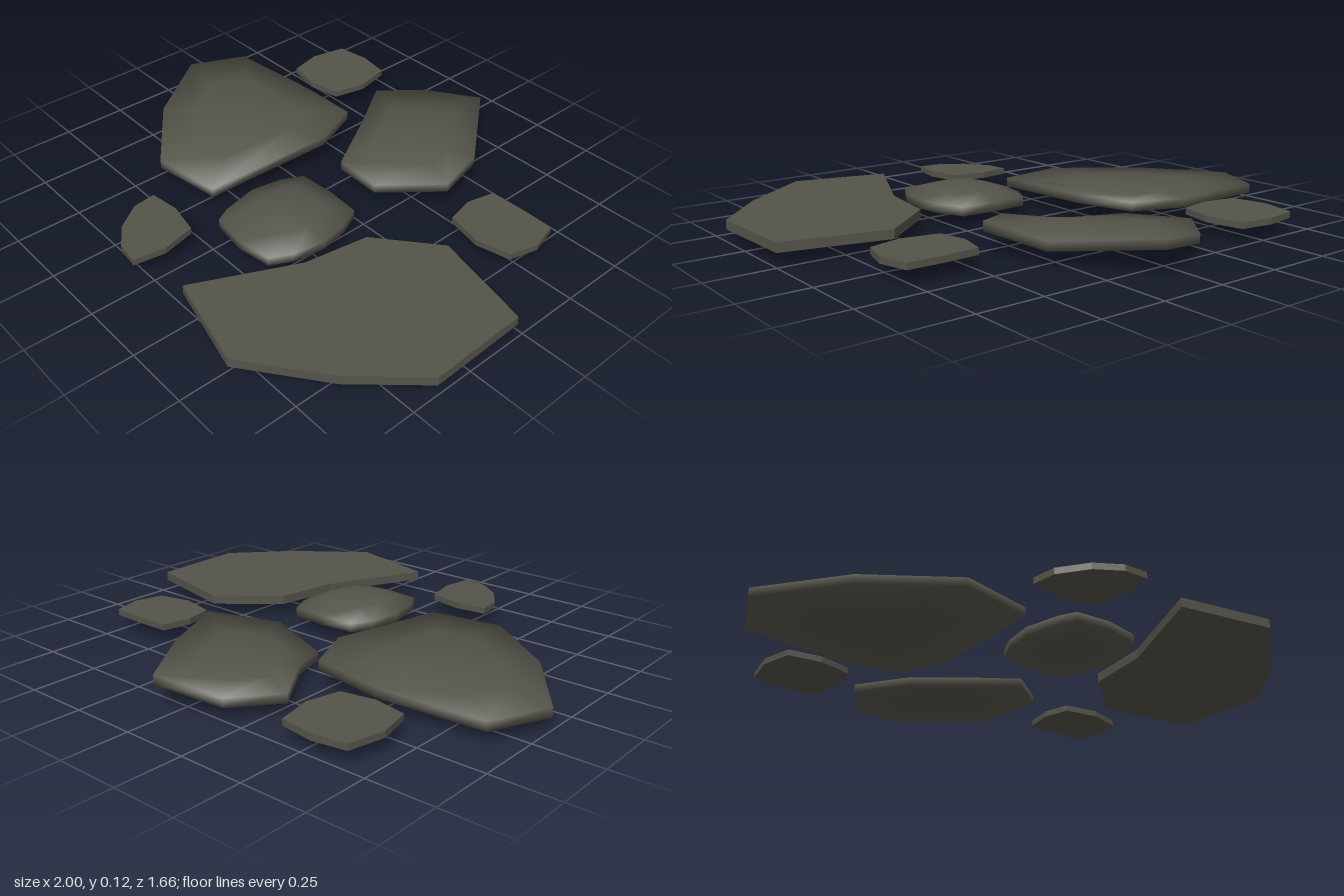
import * as THREE from 'three';

const stone = new THREE.MeshStandardMaterial({ color: 0x55544a });
stone.name = 'mossy grey stone';

// Slab from an outline of [x, z, top height], clockwise seen from above.
// crown = top height at the middle, belly = underside height at the middle.
function slab(name, outline, { thick = 0.035, top = 0.08, crown = top, belly = crown - thick, soft = false }) {
  const n = outline.length;
  const cx = outline.reduce((s, p) => s + p[0], 0) / n;
  const cz = outline.reduce((s, p) => s + p[1], 0) / n;
  const pos = [], nor = [], index = [];
  const add = (x, y, z, nx, ny, nz) => {
    const v = new THREE.Vector3(nx, ny, nz).normalize();
    pos.push(x, y, z);
    nor.push(v.x, v.y, v.z);
  };
  // rings: underside rim, top rim, inner top ring
  for (let ring = 0; ring < 3; ring++) {
    for (const [x, z, h = top] of outline) {
      const out = new THREE.Vector2(x - cx, z - cz).normalize();
      const s = ring === 2 ? 0.6 : 1;
      const y = ring === 0 ? h - thick : ring === 1 ? h : h + (crown - h) * 0.65;
      const up = [-0.8, 0.85, 3.5][ring];
      add(cx + (x - cx) * s, y, cz + (z - cz) * s, out.x, up, out.y);
    }
  }
  add(cx, belly, cz, 0, -1, 0);
  add(cx, crown, cz, 0, 1, 0);
  for (let i = 0; i < n; i++) {
    const j = (i + 1) % n;
    index.push(3 * n, i, j);
    for (const r of [0, n]) {
      index.push(r + i, r + n + i, r + j, r + j, r + n + i, r + n + j);
    }
    index.push(2 * n + i, 3 * n + 1, 2 * n + j);
  }
  let geo = new THREE.BufferGeometry();
  geo.setAttribute('position', new THREE.Float32BufferAttribute(pos, 3));
  geo.setAttribute('normal', new THREE.Float32BufferAttribute(nor, 3));
  geo.setIndex(index);
  if (!soft) {
    geo = geo.toNonIndexed();
    geo.computeVertexNormals();
  }
  const mesh = new THREE.Mesh(geo, stone);
  mesh.name = name;
  return mesh;
}

export function createModel() {
  const group = new THREE.Group();
  group.name = 'steppingStones';

  // Large warped slabs
  group.add(slab('rightSlab', [
    [-1, -0.13], [-0.9, -0.35], [-0.49, -0.38, 0.085], [-0.23, -0.36, 0.105],
    [-0.15, -0.16, 0.11], [-0.2, 0.35], [-0.48, 0.39], [-0.78, 0.17],
  ], { crown: 0.085, soft: true }));
  group.add(slab('backSlab', [
    [-0.3, -0.59], [-0.17, -0.75], [0.07, -0.83, 0.12], [0.31, -0.53, 0.088],
    [0.39, -0.29, 0.12], [0.18, -0.12, 0.08], [-0.06, -0.17, 0.035], [-0.17, -0.39],
  ], { crown: 0.085, soft: true }));

  // Large flat slab
  group.add(slab('frontSlab', [
    [0.16, 0.74], [0.34, 0.36], [0.38, 0.11], [0.6, 0.07 * -1], [0.99, 0.02],
    [1, 0.4], [0.8, 0.62], [0.52, 0.83],
  ], {}));

  // Domed middle stone
  group.add(slab('middleStone', [
    [-0.04, 0.04], [0.1, 0.03], [0.24, 0.04], [0.28, 0.13], [0.3, 0.24], [0.28, 0.36],
    [0.24, 0.44], [0.1, 0.46], [-0.04, 0.44], [-0.07, 0.38], [-0.1, 0.24], [-0.08, 0.12],
  ], { crown: 0.122, belly: 0.055, soft: true }));

  // Small flat pebbles
  const small = { top: 0.076, thick: 0.024 };
  group.add(slab('backPebble', [
    [-0.67, -0.73], [-0.54, -0.75], [-0.41, -0.73], [-0.38, -0.59],
    [-0.41, -0.46], [-0.54, -0.435], [-0.67, -0.46], [-0.7, -0.59],
  ], small));
  group.add(slab('leftPebble', [
    [0.5, -0.42], [0.64, -0.425], [0.77, -0.42], [0.8, -0.31],
    [0.77, -0.2], [0.64, -0.17], [0.5, -0.2], [0.475, -0.31],
  ], small));
  group.add(slab('frontPebble', [
    [-0.32, 0.53], [-0.2, 0.515], [-0.07, 0.54], [-0.04, 0.67],
    [-0.06, 0.79], [-0.15, 0.78], [-0.24, 0.72], [-0.31, 0.62],
  ], small));
  return group;
}
